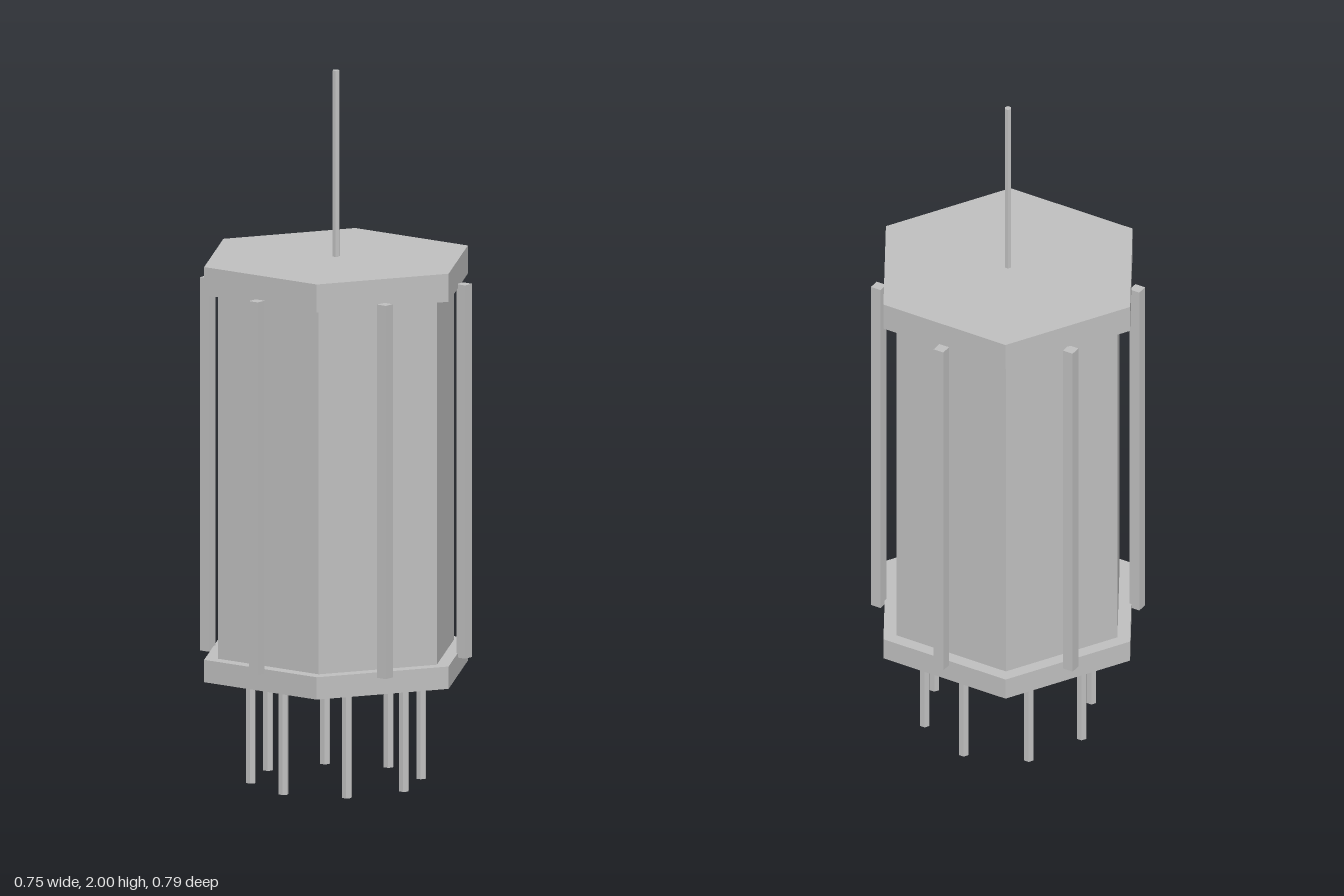
import * as THREE from 'three';

export function createModel() {
  const model = new THREE.Group();
  const grey = new THREE.MeshStandardMaterial({ color: 0xc0c0c0 });
  grey.name = 'light grey';
  grey.flatShading = true;

  const add = (name, geometry, x, y, z) => {
    const mesh = new THREE.Mesh(geometry, grey);
    mesh.name = name;
    mesh.position.set(x, y, z);
    model.add(mesh);
  };

  // Upright six-sided prism between two heights, with corners on the z axis
  const prism = (name, radius, y0, y1, x = 0, z = 0) =>
    add(name, new THREE.CylinderGeometry(radius, radius, y1 - y0, 6), x, (y0 + y1) / 2, z);

  // Core: bottom plate, body, top plate and antenna
  prism('bottomPlate', 0.393, 0.307, 0.37);
  prism('body', 0.352, 0.37, 1.397);
  prism('topPlate', 0.393, 1.397, 1.476);
  prism('antenna', 0.01, 1.476, 2);

  // Square rods, one in front of each side, all aligned with the axes
  for (let i = 0; i < 6; i++) {
    const a = (i * Math.PI) / 3;
    add('sideRod', new THREE.BoxGeometry(0.031, 1.051, 0.031),
      0.357 * Math.cos(a), 0.8825, 0.357 * Math.sin(a));
  }

  // Ring of eight pin legs
  for (let i = 0; i < 8; i++) {
    const a = (i * Math.PI) / 4;
    prism('pinLeg', 0.0148, 0, 0.307, 0.237 * Math.cos(a), 0.237 * Math.sin(a));
  }

  return model;
}
